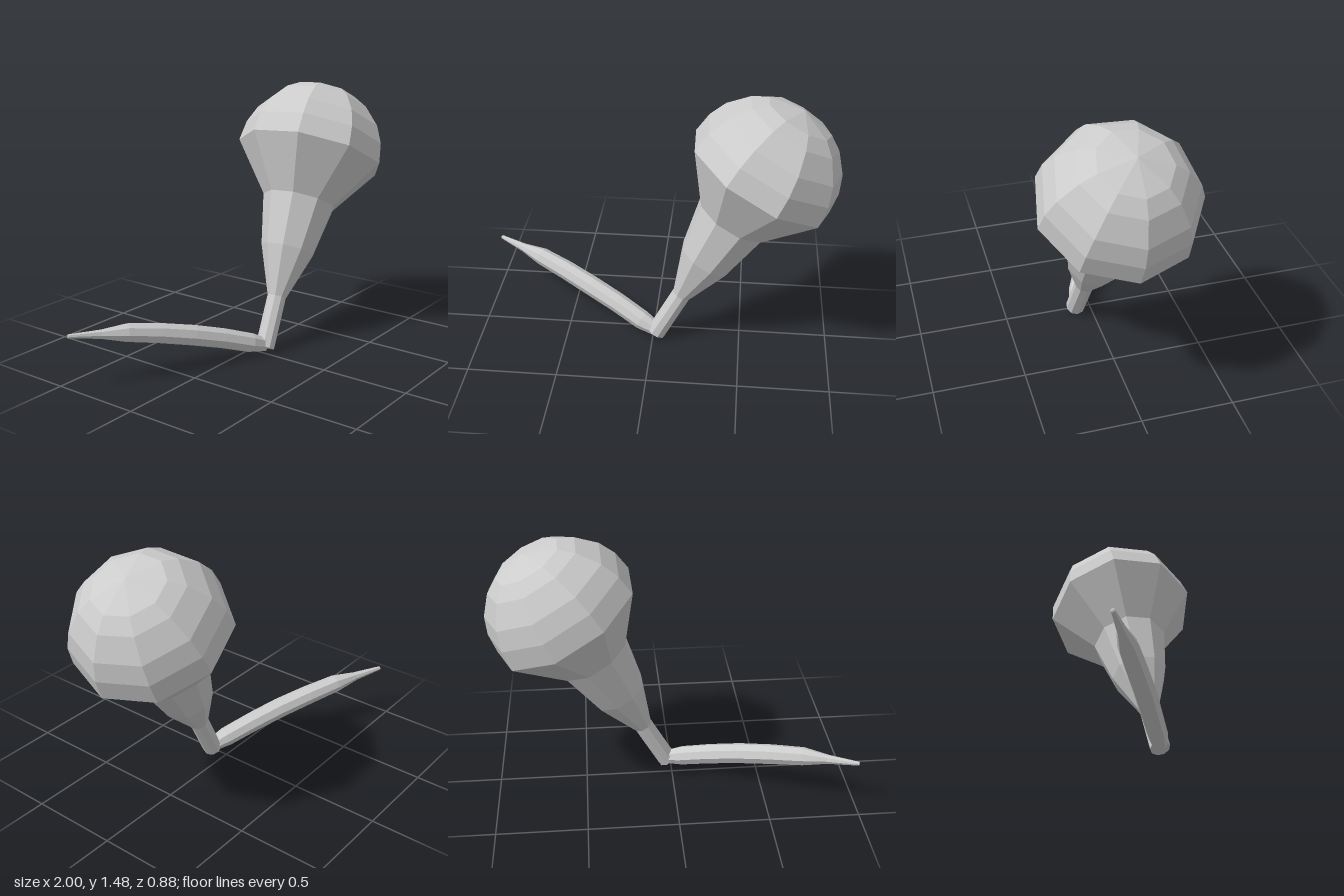
import * as THREE from 'three';

const material = new THREE.MeshStandardMaterial({ color: 0xcccccc, flatShading: true });

// Tapered body from rings [x, y, z, radius] set square to the path
function loft(rings, sides) {
  const points = rings.map(([x, y, z]) => new THREE.Vector3(x, y, z));
  const up = new THREE.Vector3(0, 1, 0);
  const positions = [], index = [];
  rings.forEach(([, , , r], i) => {
    const before = points[Math.max(i - 1, 0)];
    const after = points[Math.min(i + 1, points.length - 1)];
    const t = after.clone().sub(before).normalize();
    const s = up.clone().cross(t).normalize();
    const u = t.clone().cross(s);
    for (let j = 0; j < sides; j++) {
      const a = (j / sides) * Math.PI * 2;
      const p = points[i].clone().addScaledVector(s, r * Math.cos(a)).addScaledVector(u, r * Math.sin(a));
      positions.push(p.x, p.y, p.z);
      if (i < rings.length - 1) {
        const k = i * sides + j, n = i * sides + (j + 1) % sides;
        index.push(k, n, k + sides, n, n + sides, k + sides);
      }
    }
  });
  const geometry = new THREE.BufferGeometry();
  geometry.setAttribute('position', new THREE.Float32BufferAttribute(positions, 3));
  geometry.setIndex(index);
  geometry.computeVertexNormals();
  return geometry;
}

export function createModel() {
  const group = new THREE.Group();

  // Nine-sided bulb: slim neck, flaring body and a domed cap
  const domeRadius = 0.43, domeBase = 1.165;
  const profile = [[0, 0], [0.055, 0], [0.055, 0.3], [0.157, 0.58], [0.215, 0.877], [domeRadius, domeBase]];
  for (const degrees of [16, 31, 50, 63, 90]) {
    const a = THREE.MathUtils.degToRad(degrees);
    profile.push([Math.max(0, domeRadius * Math.cos(a)), domeBase + domeRadius * Math.sin(a)]);
  }
  const bulb = new THREE.Mesh(
    new THREE.LatheGeometry(profile.map(([x, y]) => new THREE.Vector2(x, y)), 9), material);
  bulb.name = 'bulb';

  // Lean the bulb towards +x, with one corner of its rim lowest
  const axis = new THREE.Vector3(0.475, 0.877, -0.064).normalize();
  const low = new THREE.Vector3(0, -1, 0).addScaledVector(axis, axis.y).normalize();
  low.set(0.878, -0.478, 0).addScaledVector(axis, -axis.dot(low.clone().set(0.878, -0.478, 0))).normalize();
  const side = axis.clone().cross(low);
  bulb.quaternion.setFromRotationMatrix(new THREE.Matrix4().makeBasis(side, axis, low));
  bulb.position.set(0.02, 0.025, 0.09);
  group.add(bulb);

  // Arched stalk tapering to a thin tip
  const stalk = new THREE.Mesh(loft([
    [0.025, 0.04, 0.09, 0],
    [0.02, 0.042, 0.088, 0.04],
    [-0.065, 0.072, 0.05, 0.056],
    [-0.22, 0.13, -0.03, 0.058],
    [-0.38, 0.18, -0.11, 0.059],
    [-0.55, 0.225, -0.2, 0.057],
    [-0.715, 0.26, -0.285, 0.052],
    [-0.84, 0.276, -0.348, 0.026],
    [-0.995, 0.294, -0.43, 0.011],
    [-0.998, 0.294, -0.432, 0],
  ], 8), material);
  stalk.name = 'stalk';
  group.add(stalk);

  return group;
}
